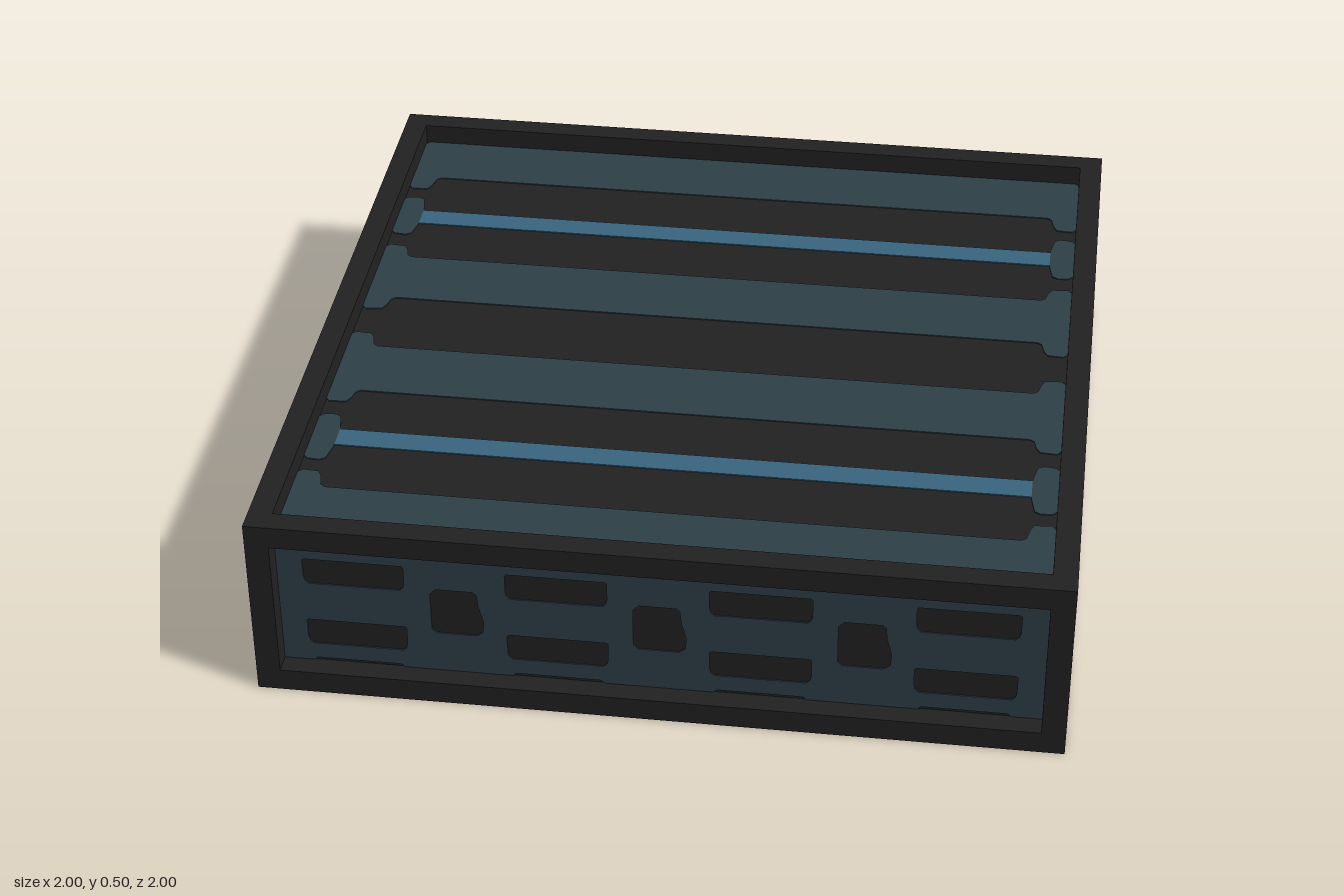
import * as THREE from 'three';

const dark = new THREE.MeshStandardMaterial({ name: 'charcoal', color: 0x222222 });
const darkSheet = new THREE.MeshStandardMaterial({ name: 'charcoal sheet', color: 0x222222, side: THREE.DoubleSide });
const teal = new THREE.MeshStandardMaterial({ name: 'dark teal', color: 0x2e4148 });
const blue = new THREE.MeshStandardMaterial({ name: 'steel blue', color: 0x3a6580 });

const T = 0.006; // thickness of the painted plates
const BAR = 0.06; // frame bar width
const INSET = 0.945; // distance of the walls from the centre

function add(parent, name, geometry, material, x = 0, y = 0, z = 0) {
  const mesh = new THREE.Mesh(geometry, material);
  mesh.name = name;
  mesh.position.set(x, y, z);
  parent.add(mesh);
  return mesh;
}

const toShape = (points) => new THREE.Shape(points.map(([x, y]) => new THREE.Vector2(x, y)));
const offset = (points, dx, dy) => points.map(([x, y]) => [x + dx, y + dy]);

function rectangle(x0, x1, y0, y1, c = 0) {
  if (!c) return [[x0, y0], [x1, y0], [x1, y1], [x0, y1]];
  return [[x0 + c, y0], [x1 - c, y0], [x1, y0 + c], [x1, y1 - c],
    [x1 - c, y1], [x0 + c, y1], [x0, y1 - c], [x0, y0 + c]];
}

// Thin plate straddling z = 0, so that it shows on both sides of a sheet
function plate(shape) {
  return new THREE.ExtrudeGeometry(shape, { depth: T, bevelEnabled: false }).translate(0, 0, -T / 2);
}

// Wall sheet with rows of slots and odd square openings
function makeWall() {
  const wall = new THREE.Group();
  const slot = [[-0.113, -0.037], [0.113, -0.037], [0.122, -0.028], [0.125, -0.015], [0.125, 0.033],
    [0.121, 0.037], [-0.121, 0.037], [-0.125, 0.033], [-0.125, -0.015], [-0.122, -0.028]];
  const blob = [[-0.05, -0.067], [0.05, -0.067], [0.066, -0.055], [0.068, -0.02], [0.056, 0.025],
    [0.053, 0.058], [0.045, 0.067], [-0.048, 0.067], [-0.062, 0.052], [-0.062, -0.056]];
  const shape = toShape(rectangle(-0.94, 0.94, 0.003, 0.44, 0.012));
  for (const x of [-0.75, -0.25, 0.25, 0.75]) {
    for (const y of [0.337, 0.15]) shape.holes.push(toShape(offset(slot, x, y)));
    shape.holes.push(toShape(rectangle(x - 0.118, x + 0.118, 0.01, 0.068, 0.012)));
  }
  for (const x of [-0.5, 0, 0.5]) shape.holes.push(toShape(offset(blob, x, 0.244)));
  add(wall, 'wallBacking', new THREE.PlaneGeometry(1.89, 0.44), darkSheet, 0, 0.222, 0);
  add(wall, 'wallPlate', plate(shape), teal);
  return wall;
}

// Right-hand edge of a lid strip, flaring from height y to height yEnd
function flare(y, yEnd) {
  const d = yEnd - y;
  return [[0.86, y], [0.871, y + d * 0.15], [0.878, y + d * 0.65], [0.888, y + d * 0.95], [0.93, yEnd], [0.94, y + d * 0.8]];
}
const mirrorX = (points) => points.map(([x, y]) => [-x, y]).reverse();

// Lid sheet with raised strips, end tabs and light bars
function makeLid() {
  const lid = new THREE.Group();
  add(lid, 'lidBacking', new THREE.PlaneGeometry(1.89, 1.89), darkSheet);
  const outerFlare = flare(0.746, 0.68);
  const lowFlare = flare(0.118, 0.057);
  const highFlare = flare(0.324, 0.38).reverse();
  const outer = [...outerFlare, [0.94, 0.93], [0.93, 0.94], [-0.93, 0.94], [-0.94, 0.93], ...mirrorX(outerFlare)];
  const middle = [...lowFlare, ...highFlare, ...mirrorX(highFlare), ...mirrorX(lowFlare)];
  const tab = [[0.885, 0.445], [0.9, 0.436], [0.93, 0.439], [0.94, 0.45], [0.94, 0.622], [0.93, 0.632],
    [0.9, 0.635], [0.885, 0.626], [0.875, 0.575], [0.875, 0.495]];
  for (const turn of [0, Math.PI]) {
    const half = new THREE.Group();
    half.name = 'lidHalf';
    half.rotation.z = turn;
    add(half, 'outerStrip', plate(toShape(outer)), teal);
    add(half, 'middleStrip', plate(toShape(middle)), teal);
    add(half, 'leftTab', plate(toShape(tab)), teal);
    add(half, 'rightTab', plate(toShape(mirrorX(tab))), teal);
    add(half, 'lightBar', new THREE.BoxGeometry(1.75, 0.068, T), blue, 0, 0.533, 0);
    lid.add(half);
  }
  return lid;
}

export function createModel() {
  const model = new THREE.Group();
  model.name = 'panelBlock';

  // Frame: each side has a corner post, a top bar and a bottom bar, and a wall
  for (let i = 0; i < 4; i++) {
    const side = new THREE.Group();
    side.name = 'side';
    side.rotation.y = (i * Math.PI) / 2;
    const edge = 1 - BAR / 2;
    add(side, 'cornerPost', new THREE.BoxGeometry(BAR, 0.5, BAR), dark, edge, 0.25, edge);
    for (const y of [BAR / 2, 0.5 - BAR / 2]) {
      add(side, 'frameBar', new THREE.BoxGeometry(2 - 2 * BAR, BAR, BAR), dark, 0, y, edge);
    }
    const wall = makeWall();
    wall.name = 'wall';
    wall.position.z = INSET;
    side.add(wall);
    model.add(side);
  }

  // Recessed lid
  const lid = makeLid();
  lid.name = 'lid';
  lid.rotation.x = -Math.PI / 2;
  lid.position.y = 0.443;
  model.add(lid);

  // Flat rim around the open underside
  const rim = toShape(rectangle(-0.99, 0.99, -0.99, 0.99));
  rim.holes.push(toShape(rectangle(-0.8, 0.8, -0.8, 0.8)));
  const rimMesh = add(model, 'bottomRim', plate(rim), dark, 0, T / 2, 0);
  rimMesh.rotation.x = -Math.PI / 2;

  return model;
}
